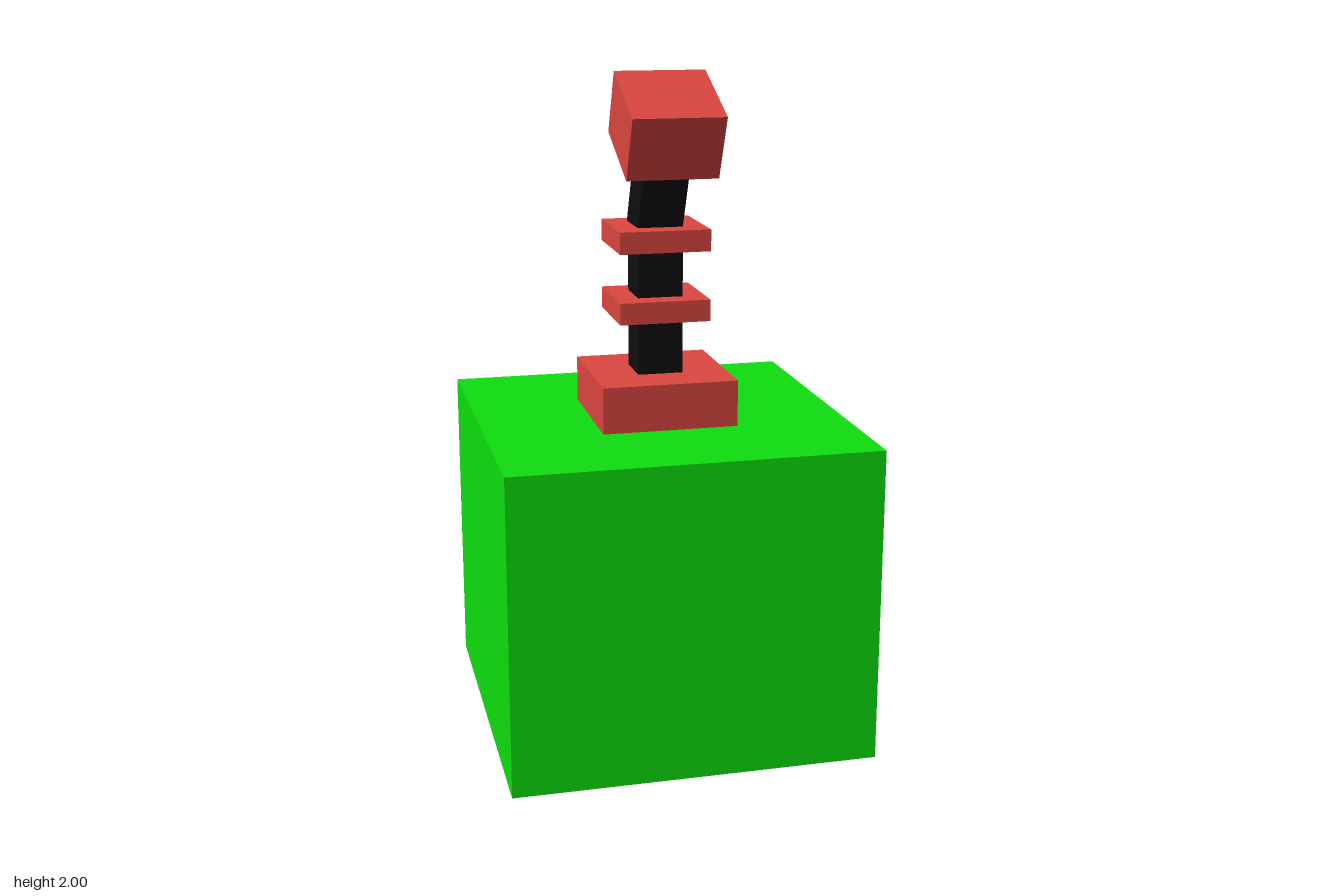
import * as THREE from 'three';

const flat = (name, color) => {
  const m = new THREE.MeshStandardMaterial({ color });
  m.name = name;
  return m;
};

export function createModel() {
  const green = flat('green', 0x0fde0f);
  const red = flat('red', 0xdb4640);
  const black = flat('black', 0x0e0e0e);
  const slate = flat('slate', 0x566478);

  const model = new THREE.Group();
  model.name = 'blockWithBentStem';

  // Box spanning y0..y1 with a square footprint
  const block = (name, width, y0, y1, material, parent = model) => {
    const mesh = new THREE.Mesh(new THREE.BoxGeometry(width, y1 - y0, width), material);
    mesh.name = name;
    mesh.position.y = (y0 + y1) / 2;
    parent.add(mesh);
    return mesh;
  };

  // Large base cube and the collar on top of it
  block('base', 1.096, 0, 0.96, green);
  block('collar', 0.41, 0.96, 1.1, red);

  // Upright stem segments between the flanges
  block('lowerStem', 0.137, 1.1, 1.27, black);
  block('middleStem', 0.137, 1.335, 1.48, black);

  // Flanges with slate undersides (box face order: +x -x +y -y +z -z)
  const flangeFaces = [red, red, red, slate, red, red];
  block('lowerFlange', 0.274, 1.27, 1.335, flangeFaces);
  block('upperFlange', 0.274, 1.48, 1.545, flangeFaces);

  // Tilted neck and head, leaning forward
  const tilted = new THREE.Group();
  tilted.name = 'tiltedTop';
  tilted.position.set(0, 1.853, 0.14);
  tilted.rotation.x = THREE.MathUtils.degToRad(25);
  model.add(tilted);
  block('head', 0.272, -0.1, 0.1, red, tilted);
  block('neck', 0.137, -0.37, -0.1, black, tilted).position.z = -0.005;

  return model;
}
